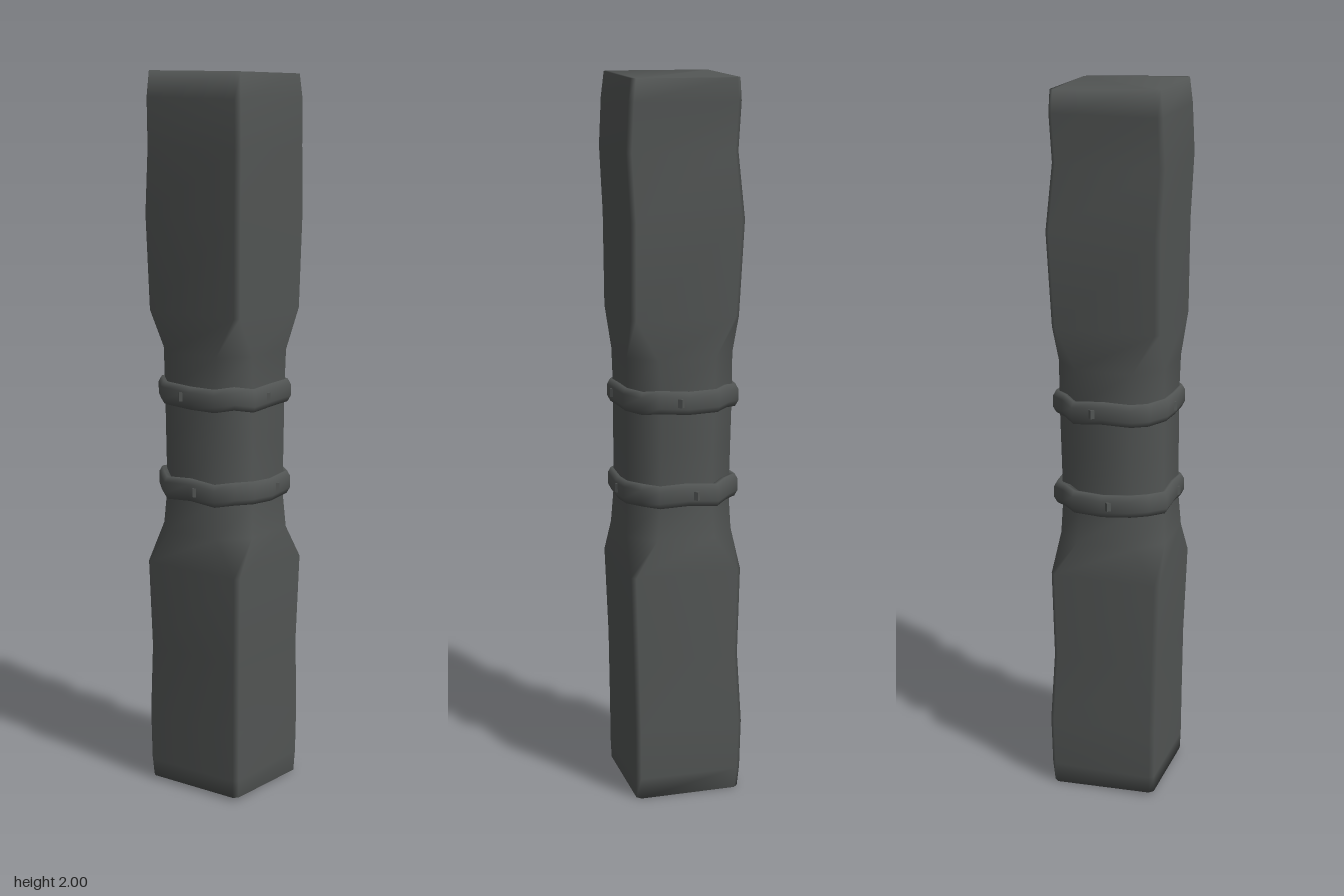
import * as THREE from 'three';

const material = new THREE.MeshStandardMaterial({ color: 0x525554, side: THREE.DoubleSide });

// Octagon corners for a square of extents a (+x, -z) and b (-x, +z), corners cut by c
function octagon(a, b, c) {
  return [
    [a, b - c], [a, -a + c], [a - c, -a], [-b + c, -a],
    [-b, -a + c], [-b, b - c], [-b + c, b], [a - c, b],
  ];
}

function indexed(positions, index) {
  const geometry = new THREE.BufferGeometry();
  geometry.setAttribute('position', new THREE.Float32BufferAttribute(positions, 3));
  geometry.setIndex(index);
  geometry.computeVertexNormals();
  return geometry;
}

// Hand-hewn square post with a bevelled waist
function postGeometry() {
  // height, +x/-z extent, -x/+z extent, corner cut
  const levels = [
    [0.005, 0.15, 0.148, 0.012], [0.06, 0.155, 0.15, 0.012],
    [0.2, 0.158, 0.151, 0.012], [0.4, 0.148, 0.153, 0.012],
    [0.65, 0.153, 0.161, 0.012], [0.75, 0.146, 0.157, 0.07],
    [0.85, 0.142, 0.151, 0.074], [1.0, 0.145, 0.151, 0.074],
    [1.15, 0.148, 0.151, 0.074], [1.25, 0.147, 0.153, 0.07],
    [1.36, 0.146, 0.156, 0.012], [1.62, 0.157, 0.158, 0.012],
    [1.8, 0.142, 0.165, 0.012], [1.93, 0.148, 0.16, 0.012],
    [1.995, 0.145, 0.153, 0.012],
  ];
  const positions = [], index = [];
  levels.forEach(([y, a, b, c], i) => {
    const end = i === 0 || i === levels.length - 1;
    for (const [x, z] of octagon(a, b, c)) positions.push(x, end ? y - x * 0.033 : y, z);
    if (i === 0) return;
    for (let k = 0; k < 8; k++) {
      const p = (i - 1) * 8 + k, q = (i - 1) * 8 + (k + 1) % 8;
      index.push(p, q, q + 8, p, q + 8, p + 8);
    }
  });
  // End caps
  const top = (levels.length - 1) * 8;
  for (let k = 1; k < 7; k++) {
    index.push(top, top + k, top + k + 1);
    index.push(0, k + 1, k);
  }
  return indexed(positions, index);
}

// Octagonal rope-like band with a rounded six-sided section
function bandGeometry(seed) {
  const section = [[-0.02, -0.025], [0.006, -0.032], [0.015, -0.016], [0.015, 0.016], [0.006, 0.032], [-0.02, 0.025]];
  const n = section.length, steps = 16, positions = [], index = [];
  const corners = octagon(0.15, 0.152, 0.073);
  for (let i = 0; i < steps; i++) {
    // corners and edge midpoints alternate
    const k = i >> 1, p = corners[k], q = corners[(k + 1) % 8];
    const t = i % 2 ? 0.5 : 0;
    const x = p[0] + (q[0] - p[0]) * t, z = p[1] + (q[1] - p[1]) * t;
    const r = Math.hypot(x, z), lift = 0.004 * Math.sin(i * 2.3 + seed);
    for (const [out, y] of section) positions.push(x * (1 + out / r), y + lift, z * (1 + out / r));
    for (let j = 0; j < n; j++) {
      const i2 = (i + 1) % steps, j2 = (j + 1) % n;
      const a = i * n + j, b = i2 * n + j, c = i2 * n + j2, d = i * n + j2;
      index.push(a, b, c, a, c, d);
    }
  }
  return indexed(positions, index);
}

export function createModel() {
  const group = new THREE.Group();
  const add = (name, geometry, parent = group) => {
    const mesh = new THREE.Mesh(geometry, material);
    mesh.name = name;
    parent.add(mesh);
    return mesh;
  };

  add('post', postGeometry());

  // Two bands, each with a small studded knob on every flat side
  [[0.875, 0.02, 'lowerBand'], [1.135, -0.025, 'upperBand']].forEach(([y, offset, name], i) => {
    const band = new THREE.Group();
    band.name = name;
    band.position.y = y;
    group.add(band);
    add(name + 'Ring', bandGeometry(i * 1.7), band);
    for (let s = 0; s < 4; s++) {
      const turn = new THREE.Group();
      turn.rotation.y = s * Math.PI / 2;
      band.add(turn);
      const knob = add('bandKnob', new THREE.BoxGeometry(0.02, 0.024, 0.02), turn);
      knob.position.set(offset, 0, 0.159);
      knob.rotation.y = Math.PI / 4;
    }
  });

  return group;
}
